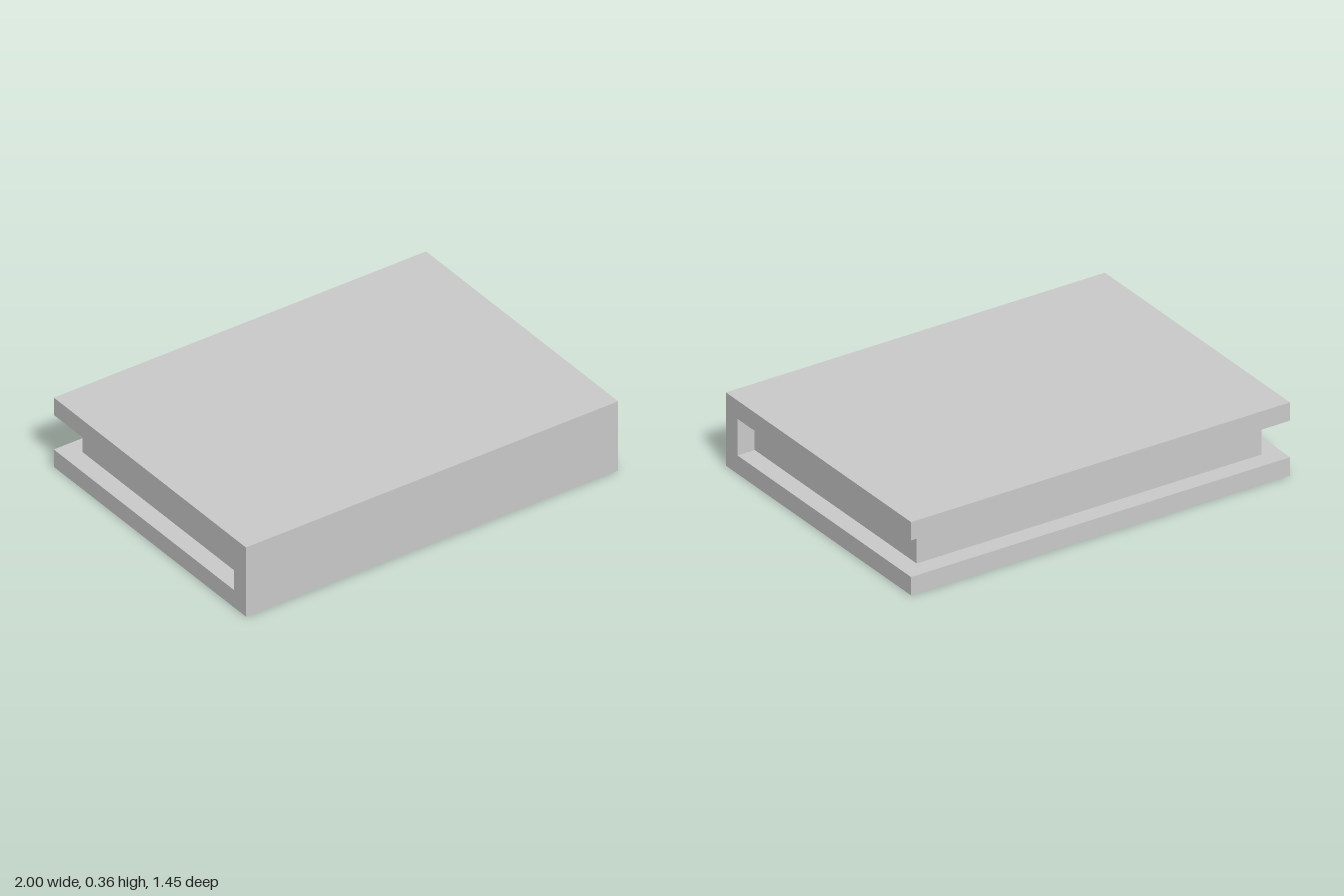
import * as THREE from 'three';

export function createModel() {
  const group = new THREE.Group();
  group.name = 'book';
  const material = new THREE.MeshStandardMaterial({ color: 0xcccccc, flatShading: true });

  const u = 2 / 22; // cover thickness, also the inset of the pages
  const width = 22 * u, height = 4 * u, depth = 16 * u;
  const back = -depth / 2, front = depth / 2;

  // Cover: C-shaped profile (z, y) with the spine at the front, extruded along x
  const profile = new THREE.Shape([
    [back, 0], [front, 0], [front, height], [back, height],
    [back, height - u], [front - u, height - u], [front - u, u], [back, u],
  ].map(([z, y]) => new THREE.Vector2(-z, y)));
  const coverGeometry = new THREE.ExtrudeGeometry(profile, { depth: width, bevelEnabled: false });
  coverGeometry.translate(0, 0, -width / 2).rotateY(Math.PI / 2);
  const cover = new THREE.Mesh(coverGeometry, material);
  cover.name = 'cover';
  group.add(cover);

  // Page block: set in from the three open edges
  const pages = new THREE.Mesh(
    new THREE.BoxGeometry(width - 2 * u, height - 2 * u, depth - 2 * u), material);
  pages.name = 'pages';
  pages.position.y = height / 2;
  group.add(pages);

  return group;
}
